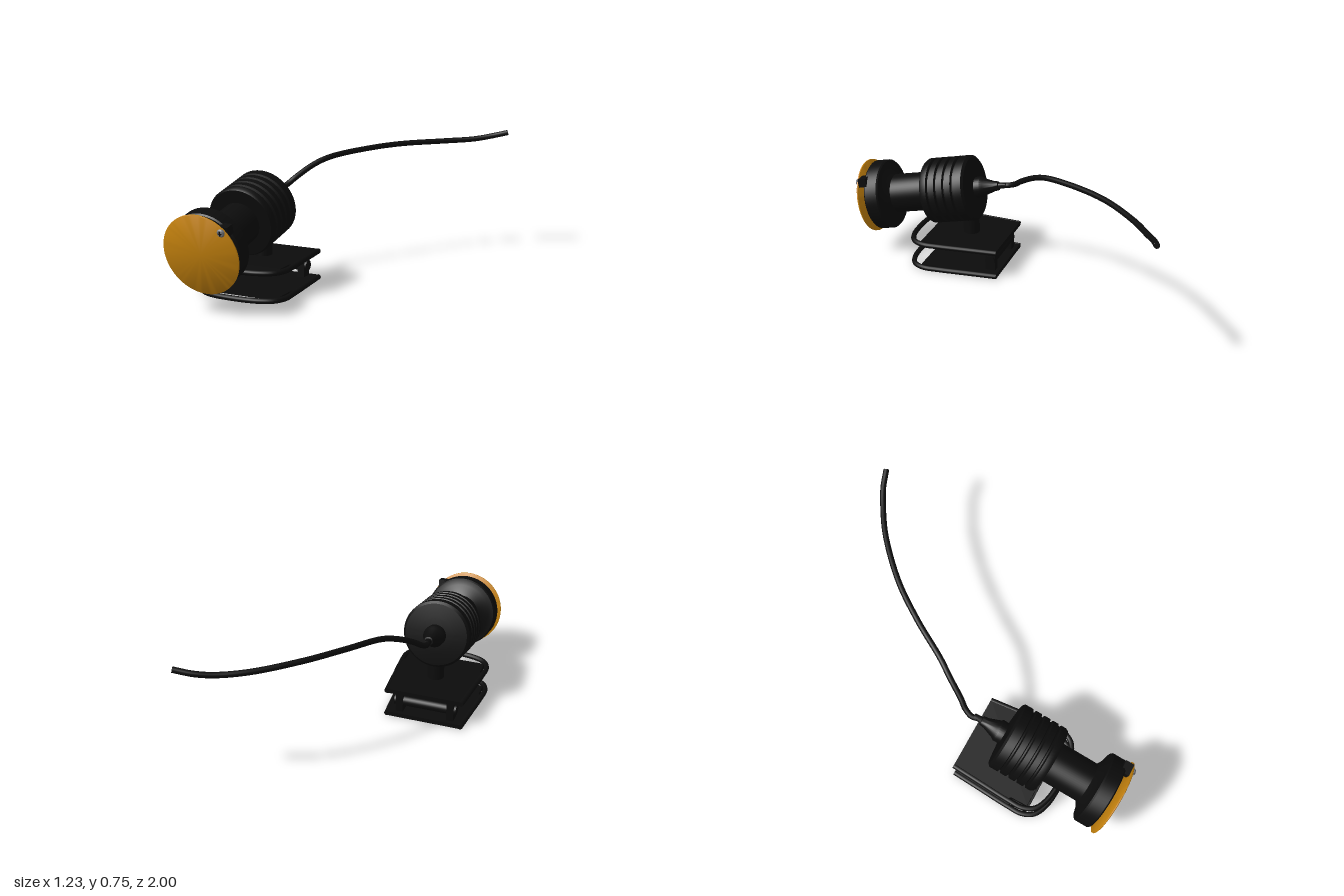
import * as THREE from 'three';
import { toCreasedNormals } from 'three/addons/utils/BufferGeometryUtils.js';

const mat = (name, color) => {
  const m = new THREE.MeshStandardMaterial({ color });
  m.name = name;
  return m;
};

export function createModel() {
  const black = mat('black rubber', 0x0c0c0c);
  const amber = mat('amber', 0xc8840e);
  const steel = mat('steel', 0x777a80);
  const model = new THREE.Group();
  model.name = 'clampLamp';
  const CX = -0.356;

  const add = (parent, name, geo, material, x = 0, y = 0, z = 0) => {
    const m = new THREE.Mesh(geo, material);
    m.name = name;
    m.position.set(x, y, z);
    parent.add(m);
    return m;
  };
  // Revolve [radius, distance along z] pairs around the z axis
  const turned = (pts, seg = 64) => toCreasedNormals(
    new THREE.LatheGeometry(pts.map(p => new THREE.Vector2(p[0], p[1])), seg).rotateX(Math.PI / 2), 0.6);

  // ---- Lamp, tilted slightly down towards the front ----
  const lamp = new THREE.Group();
  lamp.name = 'lamp';
  lamp.position.set(CX, 0.468, 0.29);
  lamp.rotation.x = THREE.MathUtils.degToRad(12);
  model.add(lamp);

  // Finned rear housing
  const body = [[0, -0.012], [0.1, -0.01], [0.18, 0], [0.193, 0.012]];
  for (let i = 0; i < 4; i++) {
    const s = 0.06 + i * 0.052;
    body.push([0.193, s], [0.178, s + 0.006], [0.178, s + 0.014], [0.193, s + 0.02]);
  }
  body.push([0.193, 0.265], [0.185, 0.278], [0, 0.278]);
  add(lamp, 'finnedHousing', turned(body), black);

  // Neck and flared head
  add(lamp, 'neck', turned([[0.115, 0.26], [0.115, 0.53]]), black);
  add(lamp, 'head', turned([[0.11, 0.505], [0.118, 0.51], [0.17, 0.54], [0.2, 0.545], [0.207, 0.553],
    [0.207, 0.627], [0.2, 0.635], [0, 0.635]]), black);

  // Cable gland at the rear
  add(lamp, 'cableGland', turned([[0, -0.195], [0.016, -0.195], [0.018, -0.15], [0.026, -0.148],
    [0.03, -0.12], [0.052, -0.06], [0.062, -0.045], [0.062, 0]], 32), black);

  // Swivelling amber filter on an off-centre pivot
  add(lamp, 'filterDisc', turned([[0, 0.664], [0.213, 0.664], [0.218, 0.667], [0.218, 0.673],
    [0.213, 0.676], [0, 0.676]], 72), amber);
  add(lamp, 'pivotBracket', new THREE.BoxGeometry(0.07, 0.05, 0.05), black, 0.137, 0.138, 0.638);
  add(lamp, 'pivotScrew', turned([[0.021, 0.67], [0.021, 0.68], [0.016, 0.686], [0, 0.688]], 24),
    steel, 0.14, 0.138, 0);
  for (const a of [0, Math.PI / 2]) {
    add(lamp, 'screwSlot', new THREE.BoxGeometry(0.022, 0.005, 0.004), black, 0.14, 0.138, 0.688).rotation.z = a;
  }

  // ---- Stand: two plates, each with a wire hoop at the front ----
  const outline = [[-0.218, 0.085], [-0.24, 0.44], [-0.228, 0.45], [-0.228, 0.55],
    [0.228, 0.55], [0.228, 0.45], [0.24, 0.44], [0.218, 0.085]];
  const plateShape = new THREE.Shape(outline.map(p => new THREE.Vector2(p[0], p[1])));
  const hoopSide = [[0.218, 0.085], [0.232, 0.26], [0.246, 0.44], [0.247, 0.53], [0.215, 0.595], [0.14, 0.632]];
  const hoopPoints = [...hoopSide, [0, 0.645], ...hoopSide.map(p => [-p[0], p[1]]).reverse()];
  const hoopCurve = new THREE.CatmullRomCurve3(hoopPoints.map(p => new THREE.Vector3(p[0], 0, p[1])));
  for (const [name, y] of [['bottom', 0.02], ['top', 0.17]]) {
    const plate = new THREE.ExtrudeGeometry(plateShape, { depth: 0.026, bevelEnabled: false });
    plate.rotateX(Math.PI / 2); // shape y becomes +z, depth runs downwards
    add(model, name + 'Plate', plate, black, CX, y + 0.013, 0);
    add(model, name + 'Hoop', new THREE.TubeGeometry(hoopCurve, 80, 0.015, 12), black, CX, y, 0);
    for (const side of [-1, 1]) {
      add(model, name + 'HoopEnd', new THREE.CircleGeometry(0.015, 12).rotateY(Math.PI),
        black, CX + side * 0.218, y, 0.085);
    }
  }

  // Posts and crossbar between the plates
  for (const side of [-1, 1]) {
    add(model, 'standPost', new THREE.BoxGeometry(0.042, 0.15, 0.06), black, CX + side * 0.15, 0.095, 0.138);
  }
  add(model, 'crossbar', new THREE.CylinderGeometry(0.03, 0.03, 0.366, 24).rotateZ(Math.PI / 2),
    black, CX, 0.095, 0.138);
  add(model, 'lampMount', new THREE.CylinderGeometry(0.048, 0.048, 0.14, 32), black, CX, 0.24, 0.317);

  // ---- Trailing cable ----
  const path = [[-0.36, 0.503, 0.115], [-0.364, 0.508, 0.085], [-0.348, 0.528, 0.04], [-0.32, 0.56, 0],
    [-0.26, 0.62, -0.1], [-0.2, 0.655, -0.19], [-0.075, 0.679, -0.4], [0.07, 0.69, -0.6],
    [0.275, 0.692, -0.8], [0.42, 0.699, -0.9], [0.51, 0.715, -0.95], [0.608, 0.739, -0.985]];
  const cable = new THREE.CatmullRomCurve3(path.map(p => new THREE.Vector3(...p)));
  add(model, 'cable', new THREE.TubeGeometry(cable, 140, 0.016, 14), black);
  const end = cable.getPoint(1);
  const cap = add(model, 'cableEnd', new THREE.CircleGeometry(0.016, 14), black, end.x, end.y, end.z);
  cap.lookAt(end.clone().add(cable.getTangent(1)));

  return model;
}
